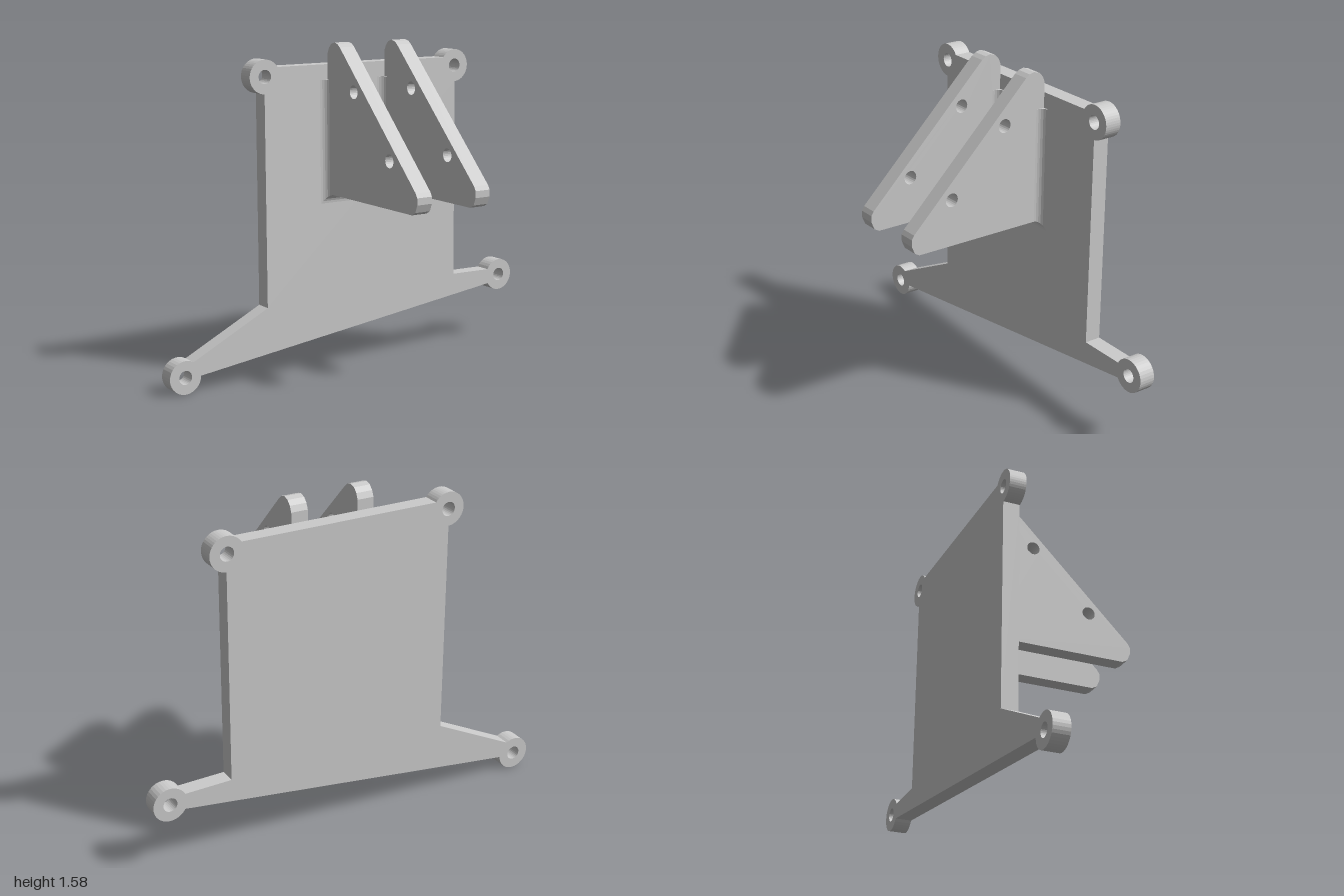
import * as THREE from 'three';

const BACK = -0.4, FACE = -0.32;      // plate back and front in z
const FIN_HALF = 0.04, FIN_X = [-0.095, 0.231];
const LUG_R = 0.08, HOLE_R = 0.033;
const rad = THREE.MathUtils.degToRad;

function addHole(shape, x, y, r) {
  const hole = new THREE.Path();
  hole.absarc(x, y, r, 0, Math.PI * 2, true);
  shape.holes.push(hole);
}

// Plate, arms and screw lugs as one outline; each lug is [x, y, start, end]
function plateGeometry() {
  const lugs = {
    lowLeft: [0.916, 0.33, -150, 154],
    topLeft: [0.615, 1.438, -87, 148],
    topRight: [-0.477, 1.438, 32, 268],
    lowRight: [-0.92, 0.082, 58, 358],
  };
  const s = new THREE.Shape();
  const lug = ([x, y, a, b]) => {
    s.absarc(x, y, LUG_R, rad(a), rad(b), false);
    addHole(s, x, y, HOLE_R);
  };
  s.moveTo(-0.442, 0.29);
  lug(lugs.lowLeft);
  s.lineTo(0.62, 0.37);
  lug(lugs.topLeft);
  lug(lugs.topRight);
  s.lineTo(-0.48, 0.348);
  lug(lugs.lowRight);
  s.closePath();
  const g = new THREE.ExtrudeGeometry(s, { depth: FACE - BACK, bevelEnabled: false, curveSegments: 14 });
  return g.translate(0, 0, BACK);
}

// Triangular fin drawn in (z, y), then turned to stand out from the plate
function finGeometry() {
  const s = new THREE.Shape([
    [FACE, 0.86], [0.36, 0.86], [0.385, 0.874], [0.4, 0.91], [0.4, 0.942], [0.388, 0.962],
    [-0.215, 1.565], [-0.235, 1.579], [-0.26, 1.585], [-0.288, 1.577], [-0.308, 1.557], [FACE, 1.53],
  ].map(([z, y]) => new THREE.Vector2(z, y)));
  addHole(s, -0.1, 1.366, 0.032);
  addHole(s, 0.186, 1.08, 0.032);
  const g = new THREE.ExtrudeGeometry(s, { depth: FIN_HALF * 2, bevelEnabled: false, curveSegments: 12 });
  return g.rotateY(-Math.PI / 2).translate(FIN_HALF, 0, 0);
}

// Concave fillet running down both sides and mitred under the fin
function filletGeometry() {
  const top = 1.407, bottom = 0.86, r = 0.043, steps = 6;
  const rings = [];
  for (let i = 0; i <= steps; i++) {
    const a = (i / steps) * Math.PI / 2;
    const d = r * (1 - Math.sin(a)), z = FACE + r * (1 - Math.cos(a));
    const w = FIN_HALF + d;
    rings.push([[-w, top, z], [-w, bottom - d, z], [w, bottom - d, z], [w, top, z]]);
  }
  const pos = [];
  const tri = (...pts) => pts.forEach((p) => pos.push(...p));
  for (let i = 0; i < steps; i++) {
    const p = rings[i], q = rings[i + 1];
    for (let j = 0; j < 3; j++) {
      tri(p[j], p[j + 1], q[j + 1]);
      tri(p[j], q[j + 1], q[j]);
    }
    tri([-FIN_HALF, top, FACE], p[0], q[0]);
    tri([FIN_HALF, top, FACE], q[3], p[3]);
  }
  const g = new THREE.BufferGeometry();
  g.setAttribute('position', new THREE.Float32BufferAttribute(pos, 3));
  g.computeVertexNormals();
  return g;
}

export function createModel() {
  const model = new THREE.Group();
  model.name = 'mountingBracket';
  const material = new THREE.MeshStandardMaterial({ color: 0xcccccc, flatShading: true });
  const add = (parent, name, geometry) => {
    const mesh = new THREE.Mesh(geometry, material);
    mesh.name = name;
    parent.add(mesh);
  };

  add(model, 'backPlate', plateGeometry());

  // Two matching fins with their fillets
  const fin = finGeometry(), fillet = filletGeometry();
  FIN_X.forEach((x, i) => {
    const group = new THREE.Group();
    group.name = i ? 'leftFin' : 'rightFin';
    group.position.x = x;
    add(group, 'fin', fin);
    add(group, 'finFillet', fillet);
    model.add(group);
  });
  return model;
}
